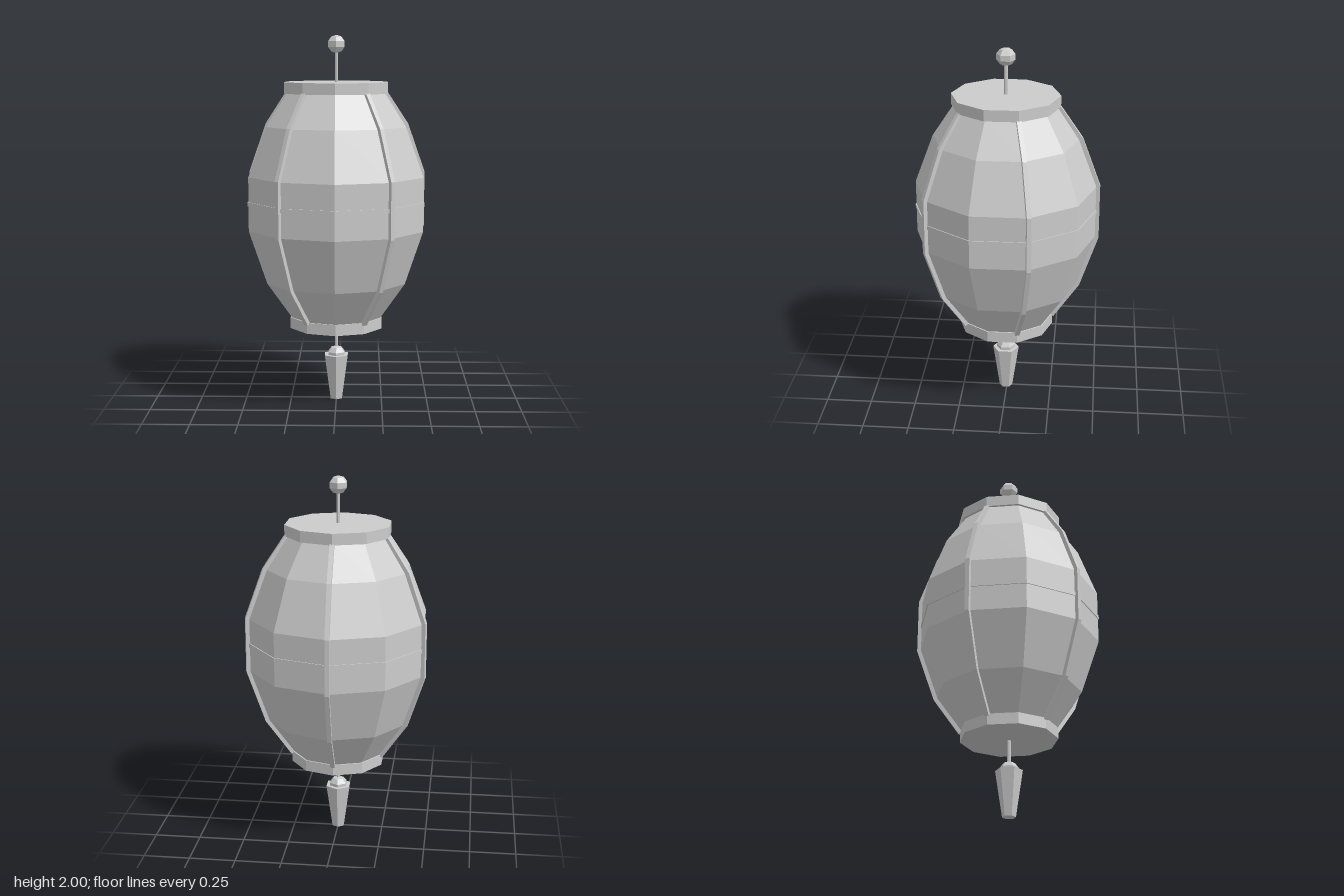
import * as THREE from 'three';

export function createModel() {
  const model = new THREE.Group();
  const grey = new THREE.MeshStandardMaterial({ color: 0xcccccc, flatShading: true });
  grey.name = 'light grey';

  // the lantern axis sits slightly forward because one rib points straight back
  const axisZ = 0.006;
  const add = (name, geometry, y = 0) => {
    const mesh = new THREE.Mesh(geometry, grey);
    mesh.name = name;
    mesh.position.set(0, y, axisZ);
    model.add(mesh);
    return mesh;
  };
  const cylinder = (name, top, bottom, y0, y1, sides) =>
    add(name, new THREE.CylinderGeometry(top, bottom, y1 - y0, sides), (y0 + y1) / 2);

  // ten-sided paper body, [radius, height]
  const profile = [[0.25, 0.47], [0.39, 0.67], [0.489, 0.96], [0.489, 1.25], [0.39, 1.515], [0.268, 1.7]];
  add('body', new THREE.LatheGeometry(profile.map(([r, y]) => new THREE.Vector2(r, y)), 10));

  // end caps and the thin belt
  cylinder('topCap', 0.289, 0.289, 1.69, 1.75, 10);
  cylinder('bottomCap', 0.261, 0.261, 0.415, 0.475, 10);
  cylinder('belt', 0.494, 0.494, 1.095, 1.117, 10);

  // five ribs following the body profile
  const outer = [[0.268, 0.463], [0.408, 0.665], [0.506, 0.955], [0.506, 1.255], [0.408, 1.52], [0.284, 1.7]];
  const inner = profile.map(([r, y]) => [r - 0.01, y]).reverse();
  const ribShape = new THREE.Shape([...outer, ...inner].map(([r, y]) => new THREE.Vector2(r, y)));
  const ribGeometry = new THREE.ExtrudeGeometry(ribShape, { depth: 0.024, bevelEnabled: false });
  ribGeometry.translate(0, 0, -0.012);
  for (let i = 0; i < 5; i++) {
    add('rib' + (i + 1), ribGeometry).rotation.y = Math.PI / 2 + (i * Math.PI * 2) / 5;
  }

  // hanging rod with a faceted ball
  const ball = (name, y) => {
    const geometry = new THREE.SphereGeometry(0.053, 6, 5);
    geometry.rotateY(Math.PI / 6);
    geometry.scale(1, 0.92, 1);
    add(name, geometry, y);
  };
  cylinder('topRod', 0.01, 0.01, 1.74, 1.93, 6);
  ball('topBall', 1.951);

  // cord, knot and tassel below
  cylinder('bottomRod', 0.01, 0.01, 0.27, 0.42, 6);
  ball('tasselKnot', 0.25);
  cylinder('tassel', 0.073, 0.036, 0, 0.25, 6);

  return model;
}
